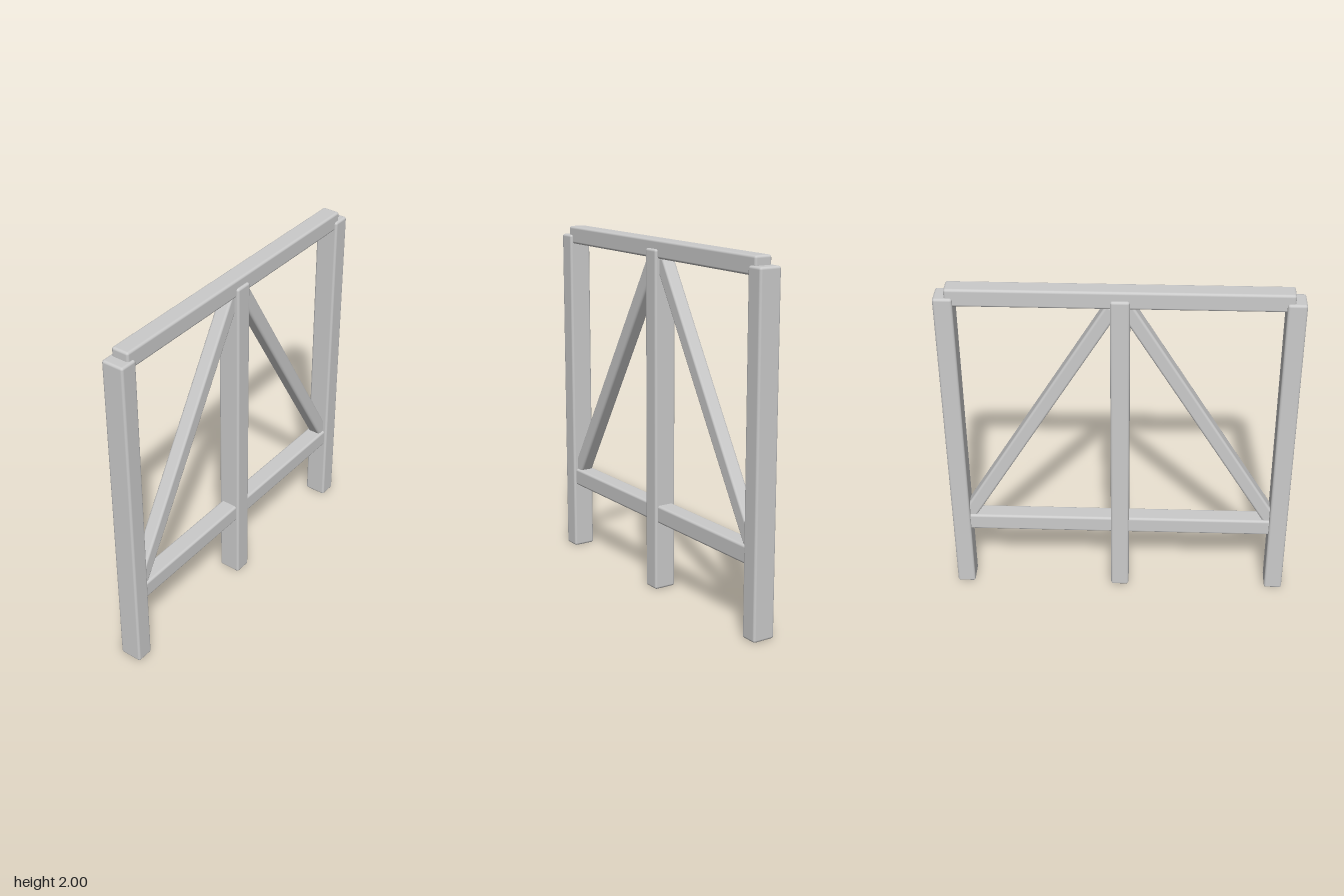
import * as THREE from 'three';
import { RoundedBoxGeometry } from 'three/addons/geometries/RoundedBoxGeometry.js';

const material = new THREE.MeshStandardMaterial({ color: 0xcccccc });

// Timber with softened edges, centred on (x, y) and turned by angle about z
function beam(name, [w, h, d], x, y, angle = 0) {
  const mesh = new THREE.Mesh(new RoundedBoxGeometry(w, h, d, 2, 0.014), material);
  mesh.name = name;
  mesh.position.set(x, y, 0);
  mesh.rotation.z = angle;
  return mesh;
}

export function createModel() {
  const group = new THREE.Group();
  group.name = 'fenceFrame';

  // Upright posts
  const post = [0.104, 1.95, 0.132];
  group.add(beam('rightPost', post, -0.92, 0.975));
  group.add(beam('middlePost', post, -0.003, 0.975));
  group.add(beam('leftPost', post, 0.92, 0.975));

  // Horizontal rails
  const rail = [1.825, 0.102, 0.104];
  group.add(beam('topRail', rail, 0, 1.949));
  group.add(beam('lowerRail', rail, 0, 0.45));

  // Diagonal braces rising from the outer posts to the middle post
  for (const side of [-1, 1]) {
    const foot = new THREE.Vector2(side * 0.885, 0.48);
    const head = new THREE.Vector2(side * 0.035, 1.895);
    const run = head.clone().sub(foot);
    const mid = foot.clone().add(head).multiplyScalar(0.5);
    const angle = Math.atan2(-run.x, run.y);
    group.add(beam(side < 0 ? 'rightBrace' : 'leftBrace', [0.08, run.length(), 0.08], mid.x, mid.y, angle));
  }
  return group;
}
